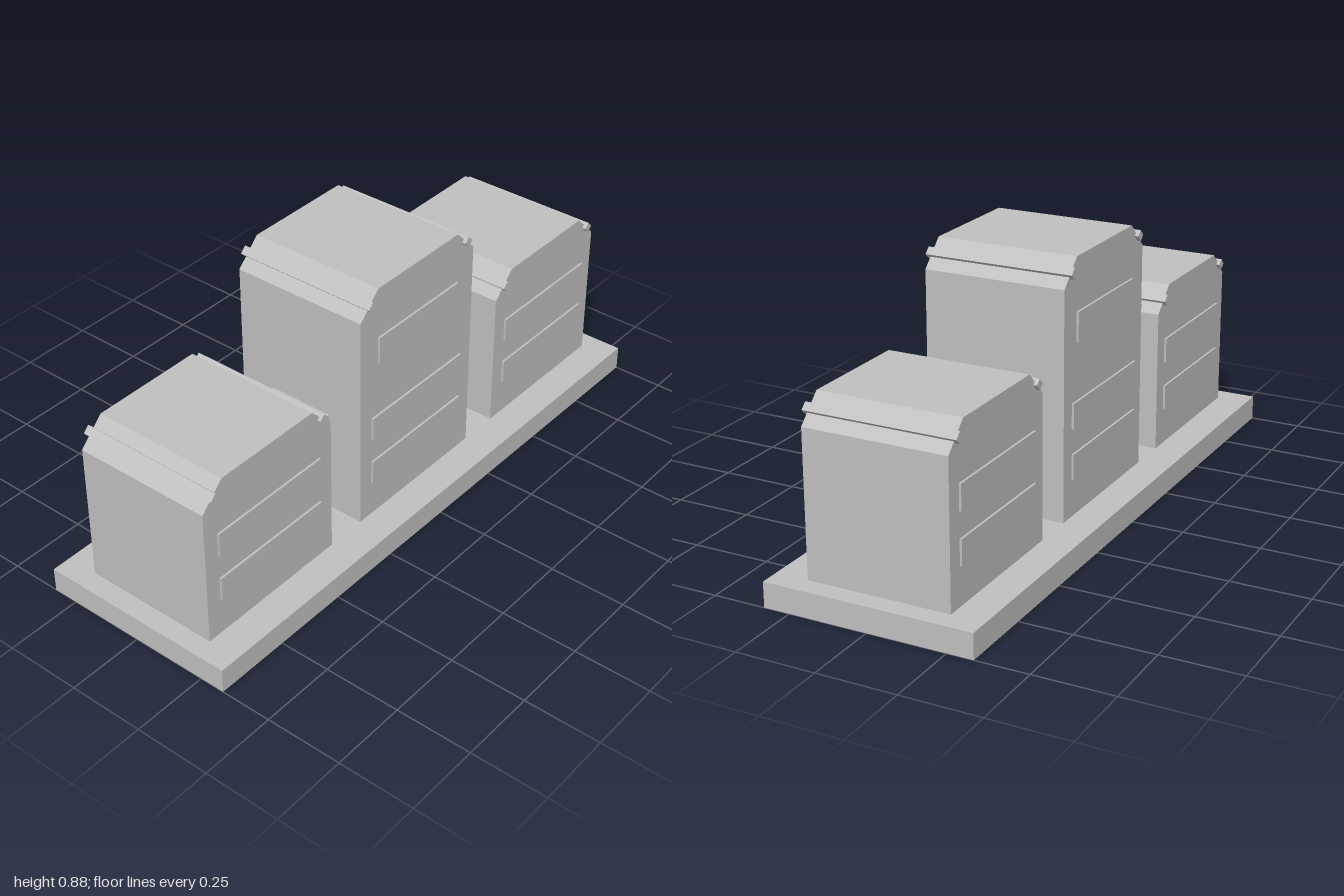
import * as THREE from 'three';

export function createModel() {
  const model = new THREE.Group();
  const stone = new THREE.MeshStandardMaterial({ color: 0xc0c0c0 });
  stone.name = 'light grey';

  const depth = 0.456, halfWidth = 0.267, chamfer = 0.08, baseTop = 0.08;

  function box(parent, name, w, h, d, x, y, z) {
    const mesh = new THREE.Mesh(new THREE.BoxGeometry(w, h, d), stone);
    mesh.name = name;
    mesh.position.set(x, y, z);
    parent.add(mesh);
    return mesh;
  }

  // Block with chamfered top edges, trim bars on the chamfers, and window bands
  function tower(name, x, top, windows) {
    const group = new THREE.Group();
    group.name = name;
    group.position.x = x;
    const shape = new THREE.Shape([
      [-halfWidth, baseTop], [halfWidth, baseTop],
      [halfWidth, top - chamfer], [halfWidth - chamfer, top],
      [chamfer - halfWidth, top], [-halfWidth, top - chamfer],
    ].map(([px, py]) => new THREE.Vector2(px, py)));
    const geometry = new THREE.ExtrudeGeometry(shape, { depth, bevelEnabled: false });
    geometry.translate(0, 0, -depth / 2);
    const body = new THREE.Mesh(geometry, stone);
    body.name = 'towerBody';
    group.add(body);

    for (const side of [-1, 1]) {
      // Trim bar lying along the chamfer
      const trim = box(group, 'roofTrim', 0.027, 0.023, 0.48,
        side * (halfWidth - chamfer / 2), top - chamfer / 2, 0);
      trim.rotation.z = -side * Math.PI / 4;
      // Window bands on front and back
      for (const [y, w, h] of windows)
        box(group, 'windowBand', w, h, 0.009, 0, y, side * (depth / 2 + 0.0025));
    }
    model.add(group);
  }

  box(model, 'base', 2, baseTop, 0.666, 0, baseTop / 2, 0);

  const lowerWindows = [[0.24, 0.43, 0.08], [0.40, 0.43, 0.08]];
  tower('centreTower', 0, 0.88, [...lowerWindows, [0.667, 0.375, 0.094]]);
  for (const side of [-1, 1]) {
    tower(side > 0 ? 'leftTower' : 'rightTower', side * 0.668, 0.615, lowerWindows);
    // Bridge between the towers
    box(model, 'bridge', 0.14, 0.107, 0.216, side * 0.334, 0.374, 0);
  }
  return model;
}
